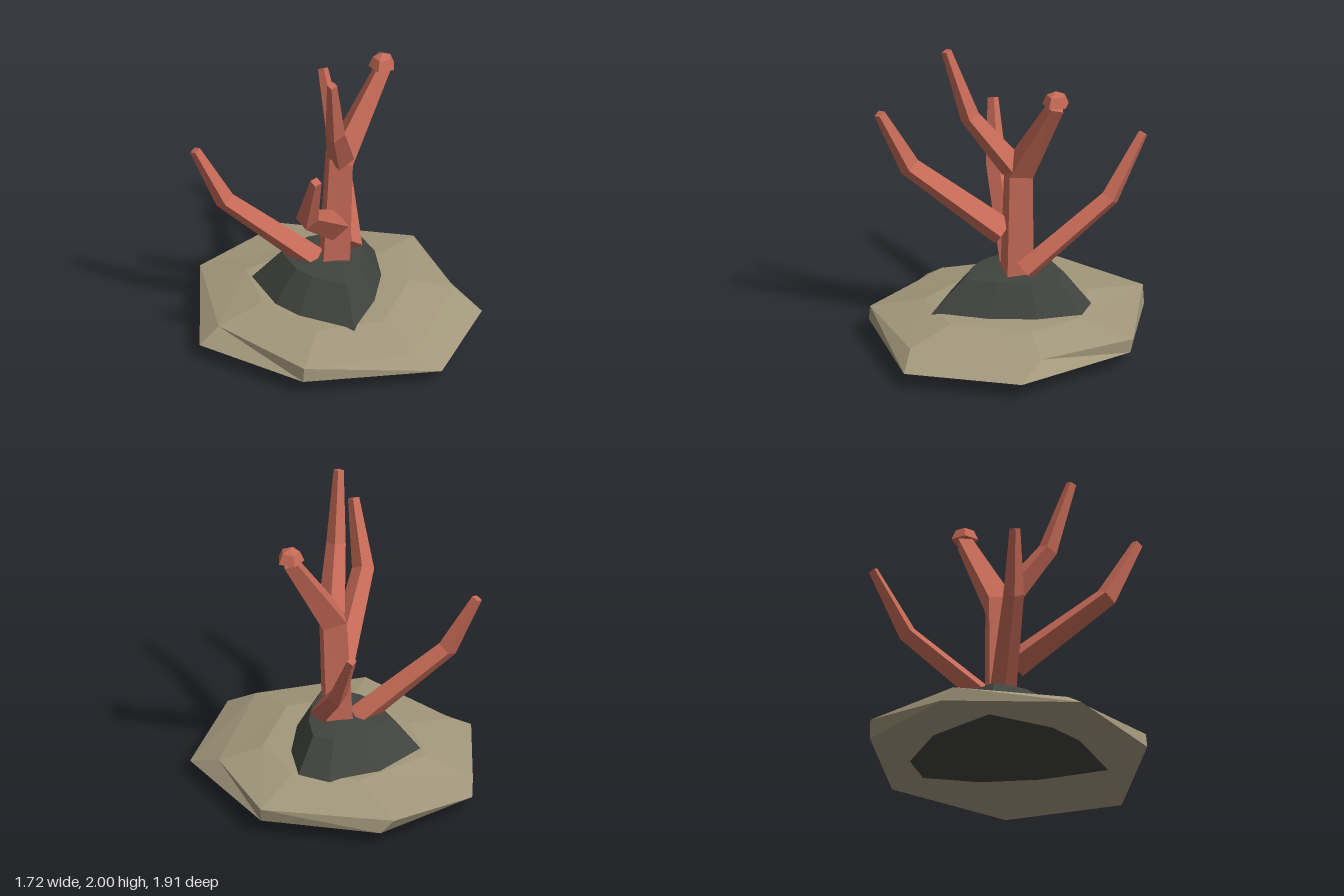
import * as THREE from 'three';

const coral = new THREE.MeshStandardMaterial({ color: 0xc66a57 });
coral.name = 'coral red';
const sand = new THREE.MeshStandardMaterial({ color: 0xa3987c });
sand.name = 'sand';
const stone = new THREE.MeshStandardMaterial({ color: 0x41443e });
stone.name = 'dark stone';
for (const m of [coral, sand, stone]) m.flatShading = true;

const V = (x, y, z) => new THREE.Vector3(x, y, z);
const centre = ring => ring.reduce((s, p) => s.add(p), V(0, 0, 0)).divideScalar(ring.length);

// Faceted skin over a stack of equal-sized rings, closed by a fan at each end
function loft(rings, bottom = centre(rings[0]), top = centre(rings.at(-1))) {
  const pos = [];
  const tri = (...pts) => pts.forEach(p => pos.push(p.x, p.y, p.z));
  const n = rings[0].length;
  const last = rings.at(-1);
  for (let i = 0; i < n; i++) {
    const j = (i + 1) % n;
    for (let k = 0; k < rings.length - 1; k++) {
      const lo = rings[k], hi = rings[k + 1];
      tri(lo[i], hi[i], hi[j]);
      tri(lo[i], hi[j], lo[j]);
    }
    tri(bottom, rings[0][i], rings[0][j]);
    tri(top, last[j], last[i]);
  }
  const g = new THREE.BufferGeometry();
  g.setAttribute('position', new THREE.Float32BufferAttribute(pos, 3));
  g.computeVertexNormals();
  return g;
}

// Four-sided tapering limb along a bent path; one corner of the section faces up
function limb(points, radii, azimuth) {
  const p = points.map(a => V(...a));
  const out = azimuth || p.at(-1).clone().sub(p[0]);
  const side0 = V(out.z, 0, -out.x).normalize();
  const rings = p.map((c, i) => {
    const t = V(0, 0, 0);
    if (i > 0) t.add(c.clone().sub(p[i - 1]).normalize());
    if (i < p.length - 1) t.add(p[i + 1].clone().sub(c).normalize());
    t.normalize();
    const s = side0.clone().addScaledVector(t, -side0.dot(t)).normalize();
    const n = t.clone().cross(s);
    return [[s, 1], [n, -1], [s, -1], [n, 1]].map(([d, k]) => c.clone().addScaledVector(d, k * radii[i]));
  });
  return loft(rings);
}

export function createModel() {
  const model = new THREE.Group();
  model.name = 'coralOnRock';
  const add = (name, geometry, material) => {
    const mesh = new THREE.Mesh(geometry, material);
    mesh.name = name;
    model.add(mesh);
    return mesh;
  };
  const ringAt = (y, pts) => pts.map(([x, z]) => V(x, y, z));

  // Irregular seven-sided sand slab
  add('sandBed', loft([
    ringAt(0.10, [[-0.145, -0.96], [0.54, -0.74], [0.845, -0.04], [0.51, 0.735], [-0.215, 0.955], [-0.83, 0.33], [-0.86, -0.45]]),
    ringAt(0.19, [[-0.21, -0.92], [0.49, -0.81], [0.86, -0.05], [0.52, 0.51], [-0.27, 0.78], [-0.82, 0.33], [-0.725, -0.40]]),
    ringAt(0.263, [[-0.175, -0.59], [0.31, -0.43], [0.49, -0.03], [0.33, 0.31], [-0.16, 0.465], [-0.5, 0.2], [-0.43, -0.28]]),
  ]), sand);

  // Rock: one outline scaled at each height, pointed underneath
  const outline = [[-0.22, -0.51], [0.15, -0.46], [0.42, -0.27], [0.475, -0.07], [0.27, 0.13],
    [0, 0.275], [-0.345, 0.37], [-0.42, 0], [-0.395, -0.2]];
  const rockRing = (y, k) => ringAt(y, outline.map(([x, z]) => [0.02 + (x - 0.02) * k, -0.06 + (z + 0.06) * k]));
  add('rock', loft([rockRing(0.10, 1.25), rockRing(0.265, 1), rockRing(0.465, 0.64)],
    V(-0.02, 0, -0.06), V(0.03, 0.485, -0.06)), stone);

  // Trunk and its four branches
  add('trunk', limb([[0.02, 0.4, -0.05], [0.045, 1.17, -0.03], [0.375, 1.72, 0.07]], [0.12, 0.108, 0.058], V(1, 0, 0)), coral);
  const branches = {
    upperBranch: [[[0.02, 1.2, 0], [-0.215, 1.54, 0.13], [-0.345, 1.99, 0.2]], [0.085, 0.062, 0.032]],
    rightBranch: [[[-0.05, 0.74, 0], [-0.61, 1.14, 0.2], [-0.735, 1.535, 0.36]], [0.095, 0.07, 0.036]],
    leftBranch: [[[0.11, 0.515, 0.01], [0.5, 0.95, -0.38], [0.625, 1.345, -0.58]], [0.075, 0.062, 0.032]],
    backBranch: [[[-0.06, 0.45, -0.15], [-0.43, 0.91, -0.57], [-0.54, 1.275, -0.72]], [0.085, 0.065, 0.034]],
  };
  for (const [name, [points, radii]] of Object.entries(branches)) add(name, limb(points, radii), coral);

  // Five-sided bud on the trunk's tip
  const pentagon = (y, r) => ringAt(y, [0, 1, 2, 3, 4].map(i => {
    const a = Math.PI / 2 + i * Math.PI * 0.4;
    return [0.37 + r * Math.cos(a), 0.068 + r * Math.sin(a)];
  }));
  add('tipBud', loft([pentagon(1.73, 0.088), pentagon(1.795, 0.06)], undefined, V(0.37, 1.823, 0.068)), coral);

  return model;
}
